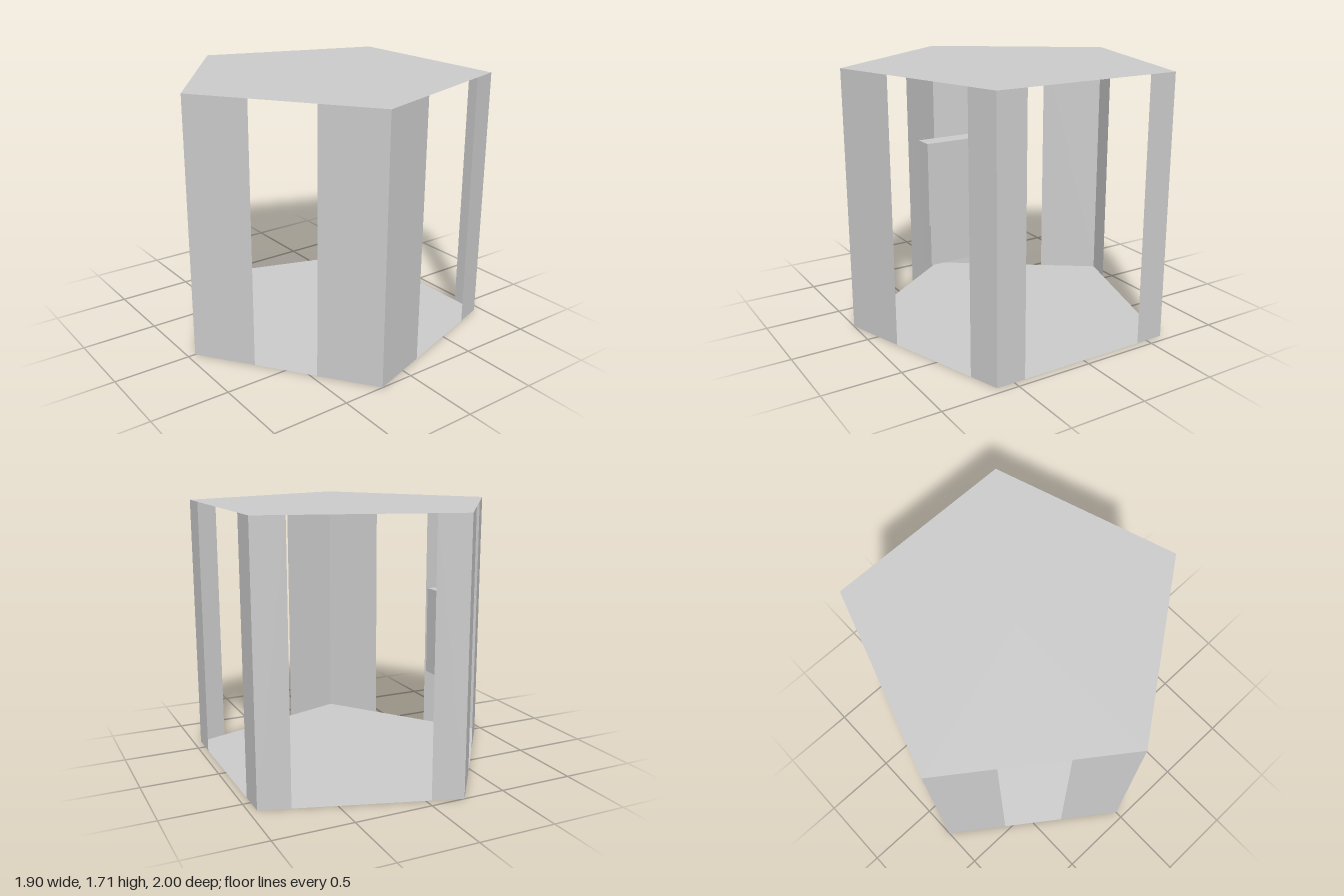
import * as THREE from 'three';

const R = 1.051, CX = 0.1, H = 1.705;

export function createModel() {
  const group = new THREE.Group();
  const sheet = new THREE.MeshStandardMaterial({ color: 0xcccccc, side: THREE.DoubleSide, flatShading: true });
  const solid = new THREE.MeshStandardMaterial({ color: 0xcccccc, flatShading: true });

  const add = (name, geometry, material, x, y, z) => {
    const mesh = new THREE.Mesh(geometry, material);
    mesh.name = name;
    mesh.position.set(x, y, z);
    group.add(mesh);
    return mesh;
  };

  // Pentagonal floor and roof sheets, one corner pointing to -x
  const pentagon = new THREE.CircleGeometry(R, 5, Math.PI).rotateX(-Math.PI / 2);
  add('floor', pentagon, sheet, CX, 0, 0);
  add('roof', pentagon, sheet, CX, H, 0);

  const corner = (i) => {
    const a = Math.PI + (i * Math.PI * 2) / 5;
    return new THREE.Vector3(CX + R * Math.cos(a), 0, R * Math.sin(a));
  };

  // Thin upright wall strip covering part of the edge from corner a towards corner b
  const wall = (name, a, b, fraction) => {
    const end = a.clone().lerp(b, fraction);
    const mid = a.clone().lerp(end, 0.5);
    const strip = new THREE.PlaneGeometry(a.distanceTo(end), H);
    add(name, strip, sheet, mid.x, H / 2, mid.z).rotation.y = Math.atan2(a.z - b.z, b.x - a.x);
  };

  // Each side has an opening between two strips: [side, width at start, width at end]
  const sides = [
    ['backRight', 1 / 3, 1 / 3],
    ['back', 0.162, 0.162],
    ['left', 0.155, 0.155],
    ['front', 0.162, 1 / 3],
    ['frontRight', 1 / 3, 1 / 3],
  ];
  sides.forEach(([side, start, end], i) => {
    const a = corner(i), b = corner(i + 1);
    wall(side + 'WallStart', a, b, start);
    wall(side + 'WallEnd', b, a, end);
  });

  // Cabinet standing in the pointed corner, with a narrower base box
  add('cabinet', new THREE.BoxGeometry(0.14, 0.62, 0.42), solid, -0.72, 0.74, 0);
  add('cabinetBase', new THREE.BoxGeometry(0.11, 0.34, 0.335), solid, -0.77, 0.26, 0);

  return group;
}
